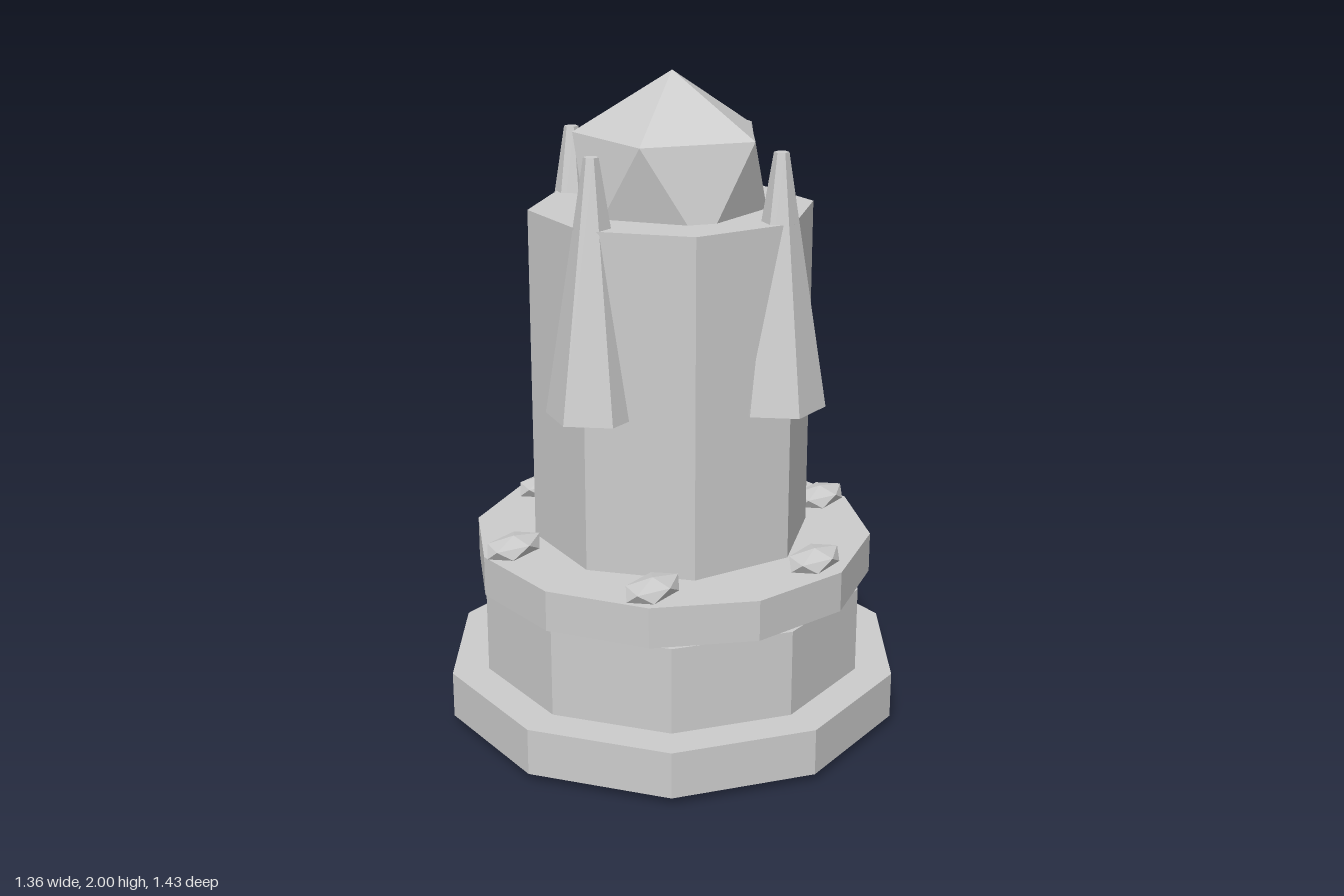
import * as THREE from 'three';

export function createModel() {
  const group = new THREE.Group();
  const stone = new THREE.MeshStandardMaterial({ color: 0xcccccc, flatShading: true });
  stone.name = 'stone';

  const add = (name, geometry, x, y, z) => {
    const mesh = new THREE.Mesh(geometry, stone);
    mesh.name = name;
    mesh.position.set(x, y, z);
    group.add(mesh);
    return mesh;
  };

  // Upright prism or tapered prism between two heights
  const prism = (name, rTop, rBottom, y0, y1, sides, x = 0, z = 0) =>
    add(name, new THREE.CylinderGeometry(rTop, rBottom, y1 - y0, sides), x, (y0 + y1) / 2, z);

  // Icosahedron standing on a corner, with an upper ring corner towards +x
  const gemGeometry = () => new THREE.IcosahedronGeometry(1, 0)
    .rotateX(-Math.atan((1 + Math.sqrt(5)) / 2))
    .rotateY(Math.PI / 2);

  // Stepped base, ledge and tower
  prism('base', 0.6, 0.6, 0, 0.44, 10);
  prism('baseRing', 0.715, 0.715, 0.025, 0.17, 10);
  prism('ledge', 0.62, 0.62, 0.45, 0.575, 12);
  prism('tower', 0.43, 0.43, 0.44, 1.6, 8);

  // Four tapered spikes round the tower
  for (const [x, z] of [[1, 0], [-1, 0], [0, 1], [0, -1]]) {
    prism('spike', 0.022, 0.143, 1.05, 1.8, 6, x * 0.382, z * 0.382);
  }

  // Large gem set in the tower top
  add('topGem', gemGeometry().scale(0.328, 0.328, 0.328), 0, 1.672, 0);

  // Six flattened gems round the ledge
  for (let i = 0; i < 6; i++) {
    const a = (i * Math.PI) / 3;
    add('ledgeGem', gemGeometry().scale(0.07, 0.034, 0.115),
      Math.cos(a) * 0.525, 0.595, Math.sin(a) * 0.525);
  }
  return group;
}
